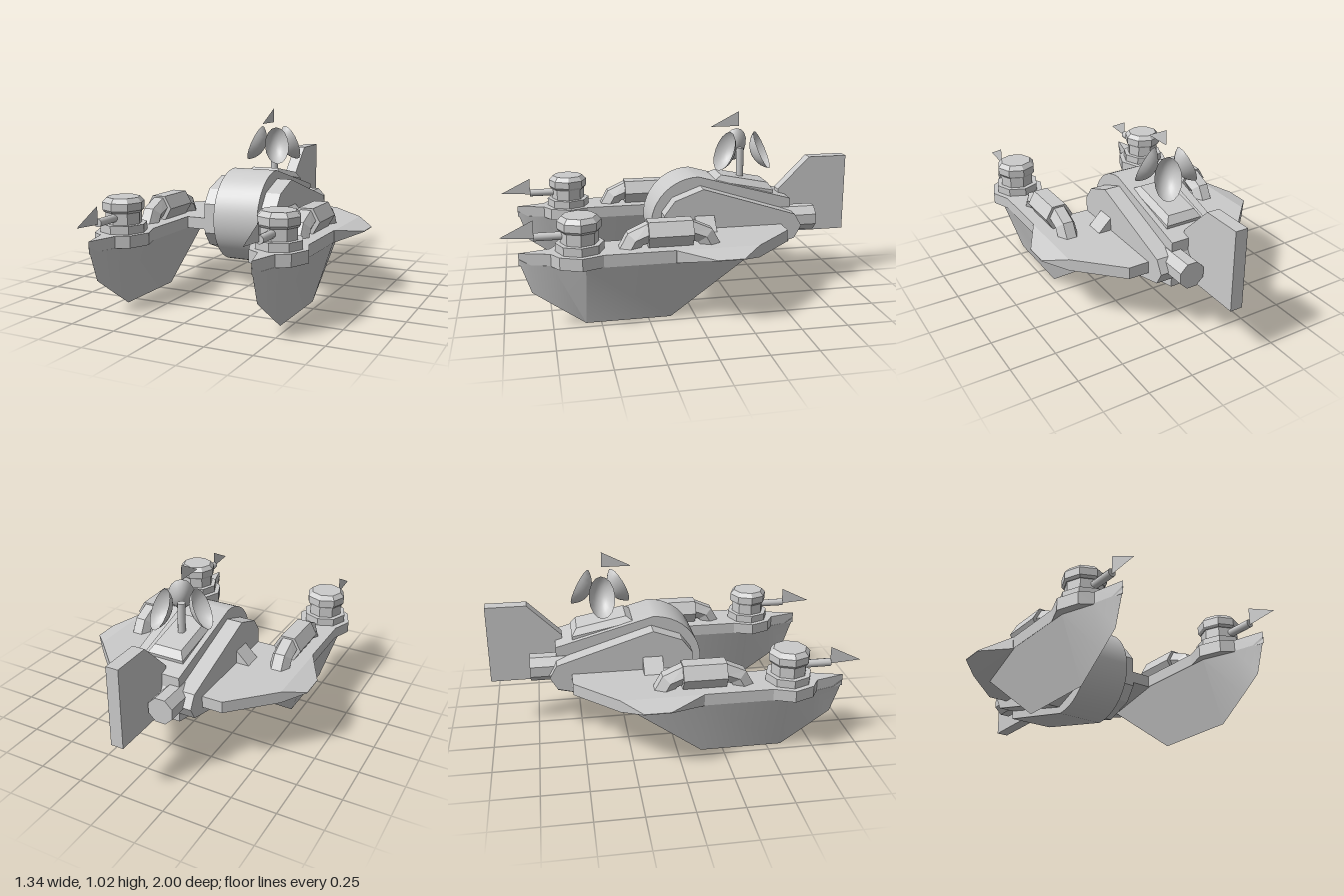
import * as THREE from 'three';
import { toCreasedNormals } from 'three/addons/utils/BufferGeometryUtils.js';

const grey = new THREE.MeshStandardMaterial({ color: 0xcccccc });
const facet = new THREE.MeshStandardMaterial({ color: 0xcccccc, flatShading: true });
const thin = new THREE.MeshStandardMaterial({ color: 0xcccccc, side: THREE.DoubleSide });

function add(parent, name, geometry, material = facet, x = 0, y = 0, z = 0) {
  const mesh = new THREE.Mesh(geometry, material);
  mesh.name = name;
  mesh.position.set(x, y, z);
  parent.add(mesh);
  return mesh;
}

const shapeOf = (pts) => new THREE.Shape(pts.map(([a, b]) => new THREE.Vector2(a, b)));

// Side profile of [z, y] points, extruded across x and centred
function sideSlab(pts, width) {
  return new THREE.ExtrudeGeometry(shapeOf(pts), { depth: width, bevelEnabled: false })
    .rotateY(-Math.PI / 2).translate(width / 2, 0, 0);
}

// Skin over a row of convex rings, capped at both ends, always facing outward
function loft(rings) {
  const n = rings[0].length, tris = [];
  for (let i = 0; i < rings.length - 1; i++) {
    for (let j = 0; j < n; j++) {
      const k = (j + 1) % n, a = rings[i], b = rings[i + 1];
      tris.push([a[j], a[k], b[k]], [a[j], b[k], b[j]]);
    }
  }
  const first = rings[0], last = rings[rings.length - 1];
  for (let j = 1; j < n - 1; j++) {
    tris.push([first[0], first[j + 1], first[j]], [last[0], last[j], last[j + 1]]);
  }
  const v = tris.map((t) => t.map((p) => new THREE.Vector3(...p)));
  const volume = v.reduce((sum, [a, b, c]) => sum + a.dot(b.clone().cross(c)), 0);
  if (volume < 0) v.forEach((t) => t.reverse());
  const g = new THREE.BufferGeometry().setFromPoints(v.flat());
  g.computeVertexNormals();
  return g;
}

// Thin triangular pennant in the x = 0 plane, tip toward the front
function pennant(length, top, bottom) {
  const g = new THREE.BufferGeometry().setFromPoints([
    new THREE.Vector3(0, 0, length), new THREE.Vector3(0, bottom, 0), new THREE.Vector3(0, top, 0)]);
  g.computeVertexNormals();
  return g;
}

function buildBody(root) {
  const body = new THREE.Group();
  body.name = 'body';
  root.add(body);

  // Narrow core with a round nose
  const core = [];
  for (let i = 0; i <= 24; i++) {
    const a = Math.PI / 2 - (i / 24) * Math.PI;
    core.push([-0.09 + 0.27 * Math.cos(a), 0.41 + 0.27 * Math.sin(a)]);
  }
  core.push([-0.63, 0.27], [-0.63, 0.53]);
  add(body, 'coreHull', toCreasedNormals(sideSlab(core, 0.27), 0.4), grey);

  // Wider chamfered side armour
  const armour = [[-0.1, 0.63], [0.06, 0.57], [0.12, 0.49], [0.12, 0.32], [0.06, 0.24],
    [-0.1, 0.18], [-0.63, 0.32], [-0.67, 0.39], [-0.63, 0.46]];
  add(body, 'sideArmour', sideSlab(armour, 0.45));

  add(body, 'tailFin', sideSlab([[-0.59, 0.3], [-1, 0.3], [-1, 0.745], [-0.775, 0.745], [-0.59, 0.56]], 0.07));

  for (const s of [-1, 1]) {
    const engine = new THREE.CylinderGeometry(0.075, 0.075, 0.2, 8).rotateY(Math.PI / 8).rotateX(Math.PI / 2);
    add(body, 'engine', engine, facet, s * 0.11, 0.41, -0.675);
    const wedge = new THREE.ExtrudeGeometry(
      shapeOf([[s * 0.2, 0.38], [s * 0.31, 0.38], [s * 0.3, 0.405], [s * 0.225, 0.48], [s * 0.2, 0.48]]),
      { depth: 0.11, bevelEnabled: false });
    add(body, 'wingBracket', wedge, facet, 0, 0, -0.16);
  }
}

function buildDish(root) {
  const mast = new THREE.Group();
  mast.name = 'dishMast';
  mast.position.z = -0.365;
  root.add(mast);

  // Sloped bevelled pedestal
  const q = (hx, hz, y) => [[-hx, y, -hz], [hx, y, -hz], [hx, y, hz], [-hx, y, hz]];
  const base = add(mast, 'pedestal', loft([q(0.105, 0.177, -0.05), q(0.105, 0.177, 0), q(0.08, 0.14, 0.035)]), facet, 0, 0.61, 0);
  base.rotation.x = -0.2;
  add(mast, 'stem', new THREE.CylinderGeometry(0.022, 0.022, 0.2, 10), grey, 0, 0.71, 0);

  // Three concave petals facing outward
  for (const angle of [Math.PI, Math.PI / 3, -Math.PI / 3]) {
    const petal = new THREE.SphereGeometry(0.134, 16, 6, 0, Math.PI * 2, 0, 1.03)
      .scale(1, 1, 0.62).rotateZ(2.0).translate(0.19, 0.833, 0).rotateY(angle);
    add(mast, 'dishPetal', petal, thin);
  }
  add(mast, 'mastPennant', pennant(0.165, 0.085, 0), thin, 0, 0.935, 0.01);
}

function buildWing(root, s) {
  // [x, back z, front z, half thickness]
  const stations = [[0.2, -0.55, 0.12, 0.033], [0.34, -0.55, 0.12, 0.033],
    [0.565, -0.32, 0.12, 0.033], [0.67, -0.21, -0.07, 0.002]];
  const rings = stations.map(([x, back, front, h]) => [
    [s * x, 0.373 - h, back], [s * x, 0.373 - h, front],
    [s * x, 0.373 + h, front], [s * x, 0.373 + h, back]]);
  add(root, 'wing', loft(rings));
}

function buildPontoon(root, s) {
  const pod = new THREE.Group();
  pod.name = 'pontoon';
  pod.position.x = s * 0.45;
  root.add(pod);

  // Deck plate with gun platform bulge and pointed prow
  const half = [[0.113, -0.05], [0.113, 0.49], [0.155, 0.6], [0.11, 0.71], [0.045, 0.75]];
  const outline = [...half, [0, 0.91], ...half.map(([x, z]) => [-x, z]).reverse()];
  const deck = new THREE.ExtrudeGeometry(shapeOf(outline), { depth: 0.065, bevelEnabled: false }).rotateX(Math.PI / 2);
  add(pod, 'deck', deck, facet, 0, 0.406, 0);

  // V-shaped keel: [z, half width, keel height]
  const sections = [[0.908, 0.004, 0.36], [0.85, 0.018, 0.19], [0.745, 0.048, 0.115],
    [0.58, 0.113, 0], [0.13, 0.113, 0], [-0.34, 0.004, 0.34]];
  const keel = loft(sections.map(([z, w, y]) => {
    const top = z > 0.9 ? 0.375 : 0.345;
    return [[-w, top, z], [w, top, z], [0, y, z]];
  }));
  add(pod, 'keel', toCreasedNormals(keel, 0.35), grey);

  // Octagonal gun turret
  const turret = new THREE.Group();
  turret.name = 'turret';
  turret.position.z = 0.6;
  pod.add(turret);
  const drum = (name, top, bottom, y0, y1) =>
    add(turret, name, new THREE.CylinderGeometry(top, bottom, y1 - y0, 8), facet, 0, (y0 + y1) / 2, 0);
  drum('turretBase', 0.125, 0.125, 0.4, 0.45);
  drum('turretNeck', 0.098, 0.098, 0.45, 0.515);
  drum('turretHead', 0.113, 0.113, 0.525, 0.565);
  drum('turretHeadUnderside', 0.113, 0.103, 0.512, 0.525);
  drum('turretCap', 0.09, 0.113, 0.565, 0.59);
  const barrel = new THREE.CylinderGeometry(0.022, 0.022, 0.16, 10).rotateX(Math.PI / 2);
  add(turret, 'gunBarrel', barrel, grey, 0, 0.487, 0.15);
  add(turret, 'gunPennant', pennant(0.17, 0.085, -0.012), thin, 0, 0.49, 0.23);

  // Arched hexagonal pipe: [z offset, height, tilt of the ring]
  const path = [[0.225, 0.38, 1.4], [0.185, 0.45, 0.85], [0.11, 0.48, 0.2],
    [-0.11, 0.48, -0.2], [-0.185, 0.45, -0.85], [-0.225, 0.38, -1.4]];
  const rings = path.map(([z, y, tilt]) => Array.from({ length: 6 }, (_, i) => {
    const a = (i * Math.PI) / 3, r = 0.058;
    const up = r * Math.sin(a);
    return [r * Math.cos(a), y + up * Math.cos(tilt), z + up * Math.sin(tilt)];
  }));
  add(pod, 'pipe', loft(rings), facet, 0, 0, 0.135);
  const sleeve = new THREE.CylinderGeometry(0.08, 0.08, 0.235, 6).rotateY(Math.PI / 6).rotateX(Math.PI / 2);
  sleeve.rotateZ(0);
  add(pod, 'pipeSleeve', sleeve, facet, 0, 0.47, 0.135);
}

export function createModel() {
  const root = new THREE.Group();
  root.name = 'gunship';
  buildBody(root);
  buildDish(root);
  for (const s of [-1, 1]) {
    buildWing(root, s);
    buildPontoon(root, s);
  }
  return root;
}
